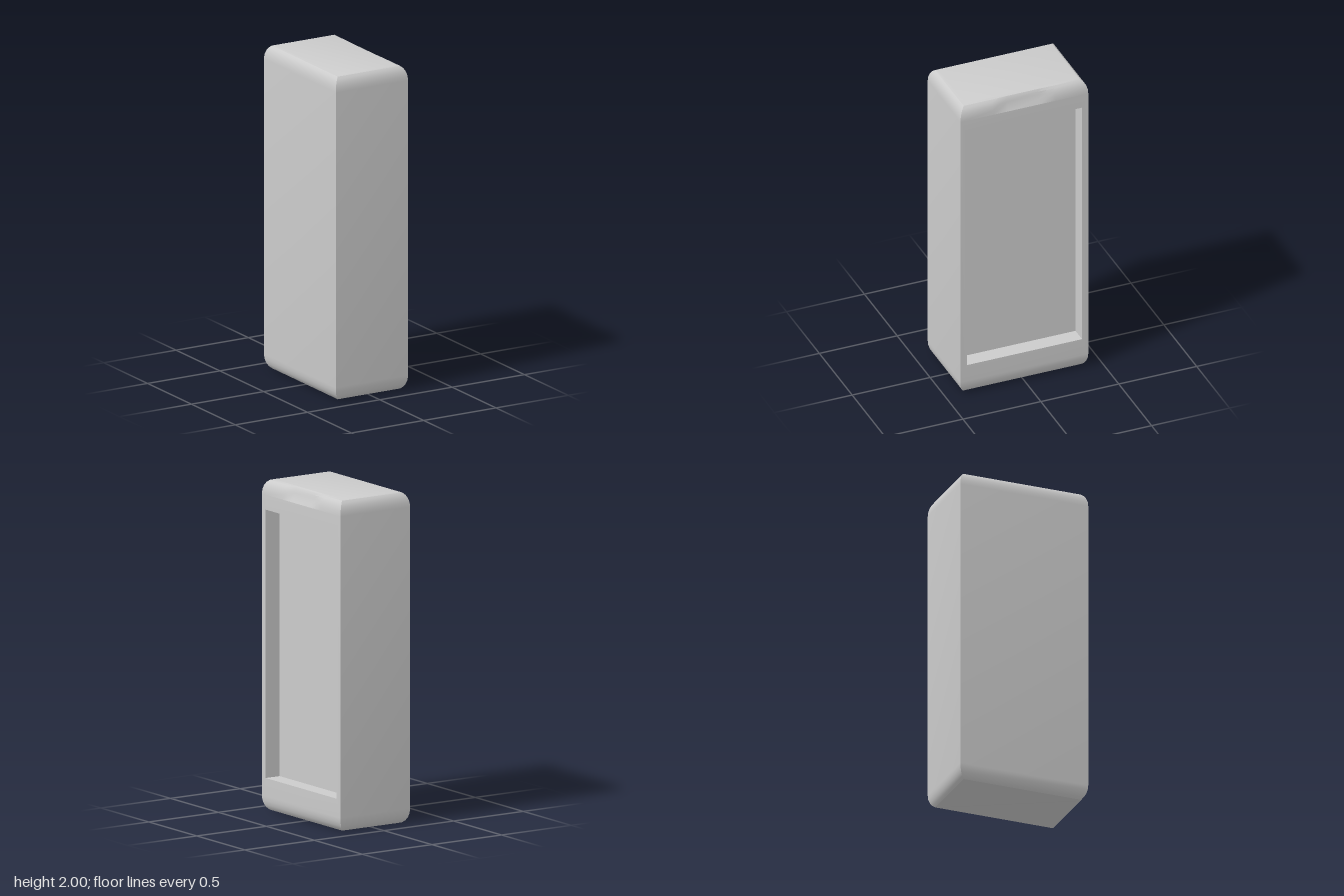
import * as THREE from 'three';
import { toCreasedNormals } from 'three/addons/utils/BufferGeometryUtils.js';

const HX = 0.25, HZ = 0.41, HEIGHT = 2;   // half width, half depth, height
const INSET = 0.05, RISE = 0.09;          // rounding of the top and bottom rims
const STEPS = 5;                          // facets per rounding

// Collects quads whose corners run counter-clockwise seen from outside
class QuadBuilder {
  points = [];
  quad(a, b, c, d) {
    for (const p of [a, b, c, a, c, d]) this.points.push(...p);
  }
  // Joins two matching four-cornered loops
  band(from, to) {
    for (let i = 0; i < 4; i++) {
      const j = (i + 1) % 4;
      this.quad(from[i], from[j], to[j], to[i]);
    }
  }
  mesh(name) {
    const geometry = new THREE.BufferGeometry();
    geometry.setAttribute('position', new THREE.Float32BufferAttribute(this.points, 3));
    const mesh = new THREE.Mesh(
      toCreasedNormals(geometry, THREE.MathUtils.degToRad(25)),
      new THREE.MeshStandardMaterial({ color: 0xcccccc })
    );
    mesh.name = name;
    return mesh;
  }
}

// Horizontal rectangle at one level of the casing
function ring({ inset, y }) {
  const x = HX - inset, z = HZ - inset;
  return [[x, y, z], [x, y, -z], [-x, y, -z], [-x, y, z]];
}

// Upright rectangle facing +x
function panel(x, z, y0, y1) {
  return [[x, y0, z], [x, y0, -z], [x, y1, -z], [x, y1, z]];
}

// Rim levels from bottom to top
function rimLevels() {
  const bottom = [], top = [];
  for (let i = 0; i <= STEPS; i++) {
    const t = (i / STEPS) * Math.PI / 2;
    const inset = INSET * (1 - Math.cos(t)), up = RISE * Math.sin(t);
    bottom.unshift({ inset, y: RISE - up });
    top.push({ inset, y: HEIGHT - RISE + up });
  }
  return { bottom, top };
}

// Shallow finger scoop in the middle of the top rim on the open side
function scoop([x, y, z]) {
  const along = THREE.MathUtils.clamp((0.2 - Math.abs(z)) / 0.1, 0, 1);
  const k = (y - (HEIGHT - RISE)) / RISE;
  return [x - 0.014 * along * Math.sin(Math.PI * THREE.MathUtils.clamp(k, 0, 1)), y, z];
}

function buildCasing() {
  const b = new QuadBuilder();
  const { bottom, top } = rimLevels();

  // Rounded bottom rim
  for (let i = 0; i < STEPS; i++) b.band(ring(bottom[i]), ring(bottom[i + 1]));

  // Straight walls on three sides; the fourth carries the recess
  const low = ring(bottom[STEPS]), high = ring(top[0]);
  for (let i = 1; i < 4; i++) {
    const j = (i + 1) % 4;
    b.quad(low[i], low[j], high[j], high[i]);
  }
  b.band(panel(HX, HZ, RISE, HEIGHT - RISE), panel(HX, 0.37, 0.2, 1.82));

  // Rounded top rim, with the +x side split up for the scoop
  const cuts = [0.2, 0.15, 0.1, -0.1, -0.15, -0.2];
  for (let i = 0; i < STEPS; i++) {
    const lo = ring(top[i]), hi = ring(top[i + 1]);
    for (let s = 1; s < 4; s++) {
      const e = (s + 1) % 4;
      b.quad(lo[s], lo[e], hi[e], hi[s]);
    }
    const row = (r) => [r[0], ...cuts.map((z) => [r[0][0], r[0][1], z]), r[1]].map(scoop);
    const lower = row(lo), upper = row(hi);
    for (let c = 0; c < lower.length - 1; c++) {
      b.quad(lower[c], lower[c + 1], upper[c + 1], upper[c]);
    }
  }

  // Flat ends
  b.quad(...ring(top[STEPS]));
  b.quad(...ring(bottom[0]).reverse());
  return b.mesh('casing');
}

// Sunken panel in the +x side
function buildRecess() {
  const b = new QuadBuilder();
  const floor = panel(HX - 0.1, 0.37, 0.2, 1.82);
  b.band(panel(HX, 0.37, 0.2, 1.82), floor);
  b.quad(...floor);
  return b.mesh('recess');
}

export function createModel() {
  const model = new THREE.Group();
  model.name = 'recessedCase';
  model.add(buildCasing(), buildRecess());
  return model;
}
